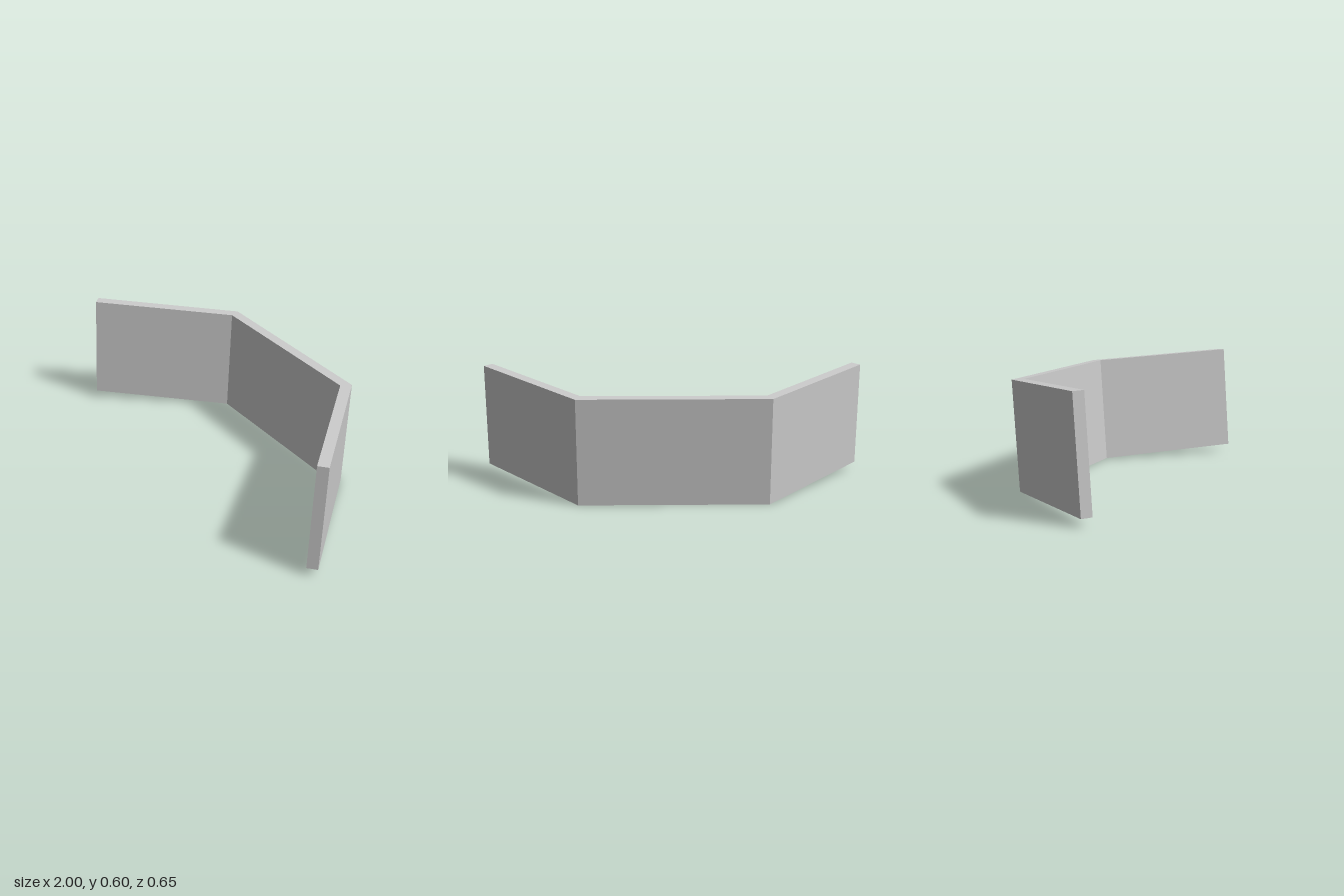
import * as THREE from 'three';

export function createModel() {
  const group = new THREE.Group();
  group.name = 'foldedScreen';
  const height = 0.556;
  const tilt = -0.0686;

  // Right half of the plan (x, z): outer fold, outer tip, inner tip, inner fold
  const half = [[0.48, -0.307], [1, 0.269], [0.96, 0.307], [0.456, -0.252]];
  const mirrored = half.map(([x, z]) => [-x, z]).reverse();
  const plan = new THREE.Shape([...half, ...mirrored].map(([x, z]) => new THREE.Vector2(x, -z)));

  // Three-panel wall, stood upright and then leaned back
  const geometry = new THREE.ExtrudeGeometry(plan, { depth: height, bevelEnabled: false });
  geometry.translate(0, 0, -height / 2);
  geometry.rotateX(-Math.PI / 2);
  geometry.rotateX(tilt);
  geometry.computeBoundingBox();
  geometry.translate(0, -geometry.boundingBox.min.y, 0);

  const panels = new THREE.Mesh(
    geometry,
    new THREE.MeshStandardMaterial({ color: 0xcccccc, flatShading: true })
  );
  panels.name = 'threePanelWall';
  group.add(panels);
  return group;
}
